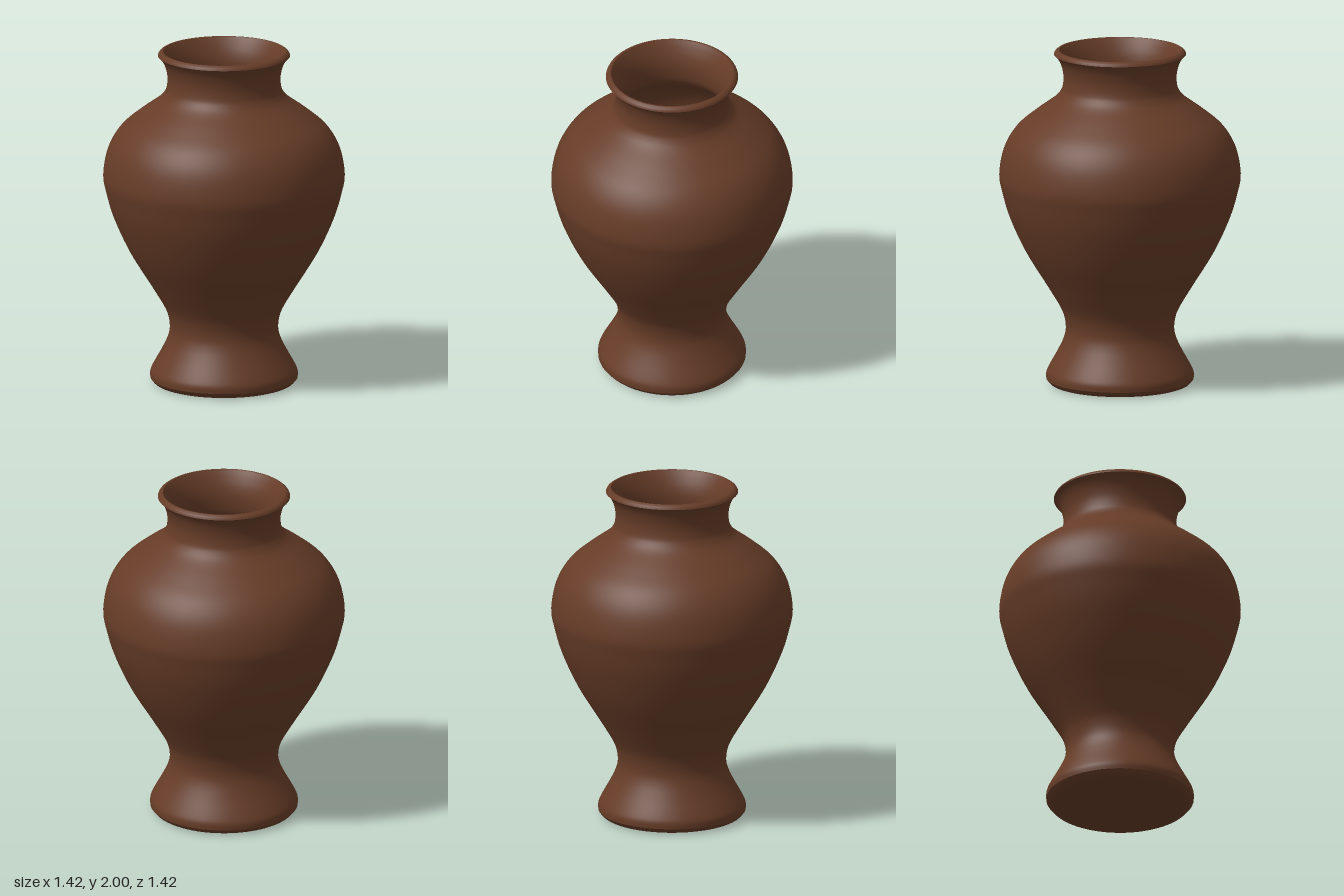
import * as THREE from 'three';

const SEGMENTS = 96;

export function createModel() {
  const group = new THREE.Group();
  group.name = 'vase';
  const clay = new THREE.MeshStandardMaterial({ color: 0x663c27 });
  clay.name = 'brown clay';

  const toPoints = (pairs) => pairs.map(([r, y]) => new THREE.Vector2(r, y));
  const smooth = (pairs, n) => new THREE.SplineCurve(toPoints(pairs)).getPoints(n);
  const addLathe = (name, points) => {
    const mesh = new THREE.Mesh(new THREE.LatheGeometry(points, SEGMENTS), clay);
    mesh.name = name;
    group.add(mesh);
  };

  // Outer wall, from the foot up to the underside of the lip
  const outer = [
    [0.432, 0.035], [0.432, 0.07], [0.415, 0.11], [0.365, 0.2], [0.332, 0.27], [0.318, 0.33],
    [0.325, 0.4], [0.352, 0.47], [0.43, 0.6], [0.553, 0.8], [0.645, 1.0], [0.69, 1.15],
    [0.708, 1.26], [0.68, 1.41], [0.61, 1.53], [0.5, 1.625], [0.39, 1.705], [0.35, 1.75],
    [0.335, 1.79], [0.332, 1.85], [0.345, 1.91], [0.365, 1.95], [0.388, 1.975],
  ];
  addLathe('outerWall', smooth(outer, 110));

  // Base disc and its rounded edge
  addLathe('base', toPoints([[0, 0], [0.385, 0]]));
  addLathe('baseEdge', smooth([[0.385, 0], [0.41, 0.01], [0.432, 0.035]], 6));

  // Bevelled lip
  addLathe('lip', smooth([[0.388, 1.975], [0.381, 1.989], [0.366, 2]], 6));
  addLathe('lipTop', toPoints([[0.366, 2], [0.357, 2]]));

  // Hollow inside, from the lip down to the floor
  const inner = [
    [0.357, 2], [0.335, 1.965], [0.31, 1.91], [0.297, 1.85], [0.3, 1.78], [0.316, 1.73],
    [0.36, 1.68], [0.475, 1.6], [0.582, 1.505], [0.646, 1.395], [0.673, 1.26], [0.656, 1.15],
    [0.611, 1.0], [0.52, 0.81], [0.4, 0.62], [0.32, 0.485], [0.291, 0.41], [0.284, 0.33],
    [0.3, 0.26], [0.335, 0.185], [0.385, 0.1], [0.397, 0.05],
  ];
  addLathe('innerWall', smooth(inner, 100));
  addLathe('innerFloor', toPoints([[0.397, 0.05], [0, 0.05]]));

  return group;
}
